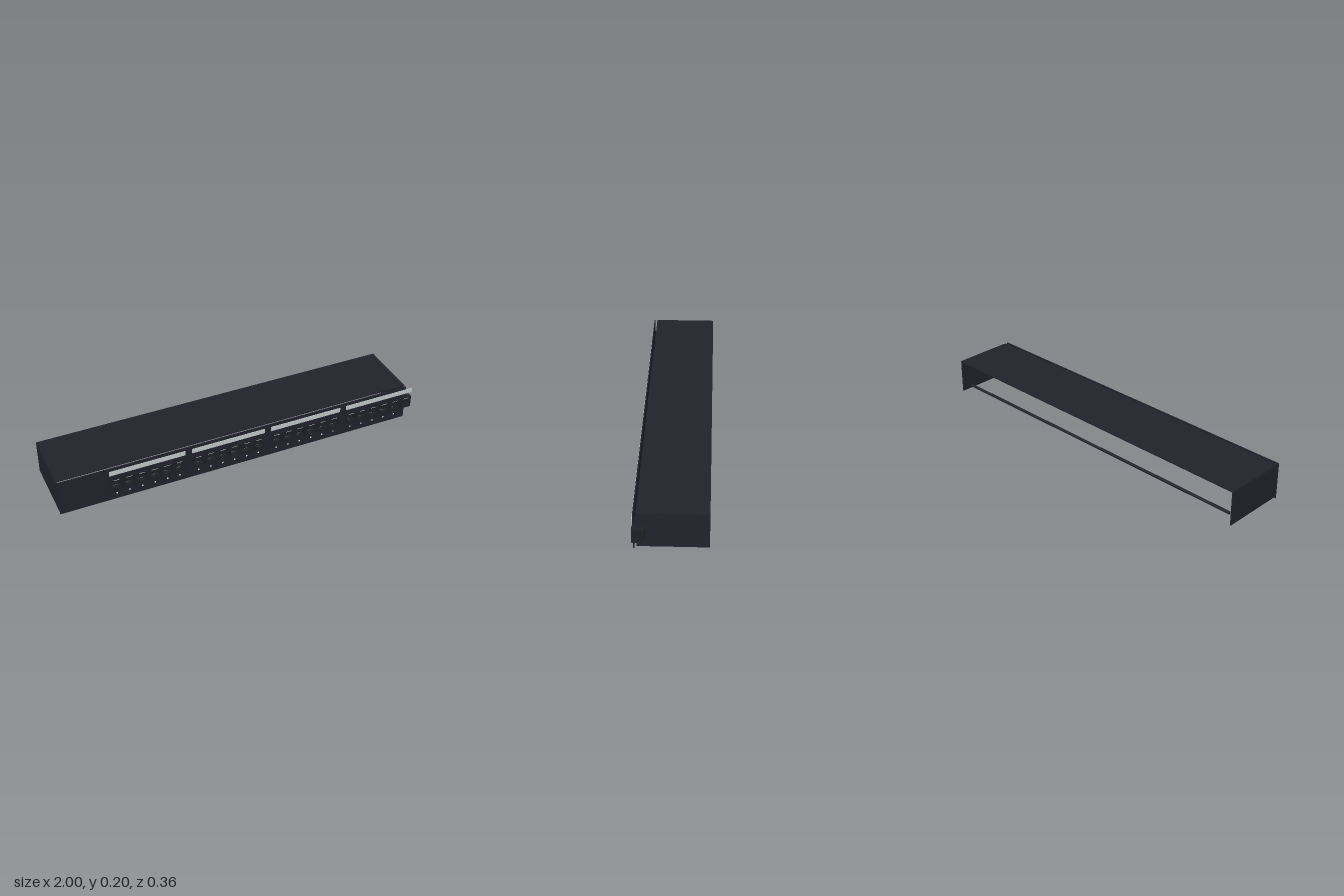
import * as THREE from 'three';

const material = (name, color) => {
  const m = new THREE.MeshStandardMaterial({ color });
  m.name = name;
  return m;
};

// Rectangular outline, used for plates and for their holes
function rect(Type, x0, y0, x1, y1) {
  const r = new Type();
  r.moveTo(x0, y0);
  r.lineTo(x1, y0);
  r.lineTo(x1, y1);
  r.lineTo(x0, y1);
  r.closePath();
  return r;
}

export function createModel() {
  const panelMat = material('dark panel', 0x22222c);
  const portMat = material('port plastic', 0x1e2126);
  const labelMat = material('label grey', 0xc4cccb);
  const markMat = material('marking white', 0xf0f0f0);
  const root = new THREE.Group();
  root.name = 'patchPanel';

  const add = (parent, name, geo, mat) => {
    const mesh = new THREE.Mesh(geo, mat);
    mesh.name = name;
    parent.add(mesh);
    return mesh;
  };
  // Box given by its two opposite corners
  const box = (parent, name, mat, x0, x1, y0, y1, z0, z1) => {
    const mesh = add(parent, name, new THREE.BoxGeometry(x1 - x0, y1 - y0, z1 - z0), mat);
    mesh.position.set((x0 + x1) / 2, (y0 + y1) / 2, (z0 + z1) / 2);
    return mesh;
  };

  // Layout of the four banks of six ports
  const starts = [0, 1, 2, 3].map(i => -0.735 + i * 0.4425);
  const bankWidth = 0.406, pitch = bankWidth / 6;

  // Front plate with one window per bank
  const plate = rect(THREE.Shape, -1, 0, 0.96, 0.197);
  for (const x of starts) {
    plate.holes.push(rect(THREE.Path, x + 0.002, 0.064, Math.min(x + bankWidth - 0.002, 0.955), 0.126));
  }
  const plateGeo = new THREE.ExtrudeGeometry(plate, { depth: 0.006, bevelEnabled: false });
  add(root, 'frontPlate', plateGeo, panelMat).position.z = 0.169;

  // Open-backed housing: top cover and two side walls
  box(root, 'topCover', panelMat, -1, 0.96, 0.192, 0.197, -0.178, 0.158);
  box(root, 'rightWall', panelMat, -1, -0.995, 0.011, 0.189, -0.178, 0.158);
  box(root, 'leftWall', panelMat, 0.953, 0.958, 0.011, 0.189, -0.178, 0.158);

  // Rear cable support bar
  const bar = add(root, 'cableBar', new THREE.CylinderGeometry(0.008, 0.008, 1.88, 12), panelMat);
  bar.rotation.z = Math.PI / 2;
  bar.position.set(-0.02, 0.045, -0.14);

  // Port frame, a hollow socket with a keyed opening
  const frame = rect(THREE.Shape, -0.033, 0.06, 0.033, 0.129);
  const opening = new THREE.Path();
  [[-0.023, 0.076], [-0.011, 0.076], [-0.011, 0.068], [0.011, 0.068], [0.011, 0.076],
    [0.023, 0.076], [0.023, 0.113], [-0.023, 0.113]]
    .forEach(([x, y], i) => (i ? opening.lineTo(x, y) : opening.moveTo(x, y)));
  opening.closePath();
  frame.holes.push(opening);
  const frameGeo = new THREE.ExtrudeGeometry(frame, { depth: 0.026, bevelEnabled: false });

  starts.forEach((x0, b) => {
    const bank = new THREE.Group();
    bank.name = 'portBank' + (b + 1);
    root.add(bank);
    box(bank, 'labelStrip', labelMat, x0, x0 + bankWidth, 0.154, 0.18, 0.175, 0.178);

    for (let i = 0; i < 6; i++) {
      const port = new THREE.Group();
      port.name = 'port';
      port.position.x = x0 + pitch * (i + 0.5);
      bank.add(port);
      add(port, 'portFrame', frameGeo, portMat).position.z = 0.153;
      box(port, 'rearConnector', portMat, -0.029, 0.029, 0.07, 0.125, 0.12, 0.153);
      // Small light marks above and below the socket
      box(port, 'topMark', labelMat, -0.016, 0.016, 0.119, 0.122, 0.178, 0.1795);
      if (port.position.x < 0.95) box(port, 'portMark', markMat, -0.004, 0.004, 0.031, 0.039, 0.174, 0.176);
    }
  });

  return root;
}
